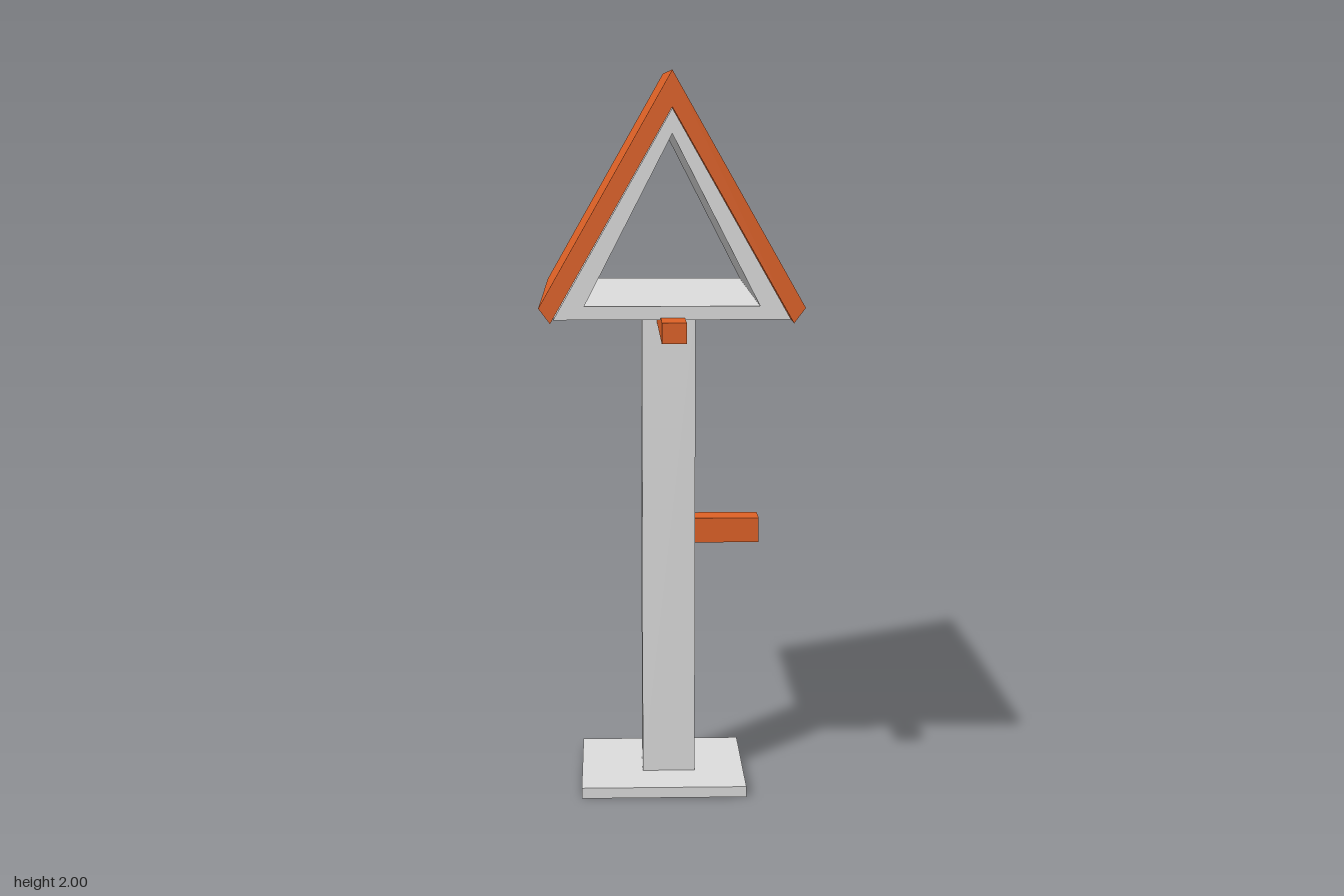
import * as THREE from 'three';

const orange = new THREE.MeshStandardMaterial({ color: 0xe06226 });
orange.name = 'orange wood';
const grey = new THREE.MeshStandardMaterial({ color: 0xdedede, side: THREE.DoubleSide });
grey.name = 'pale grey wood';

// Box given by its minimum and maximum corners
function box(name, material, min, max) {
  const size = max.map((v, i) => v - min[i]);
  const mesh = new THREE.Mesh(new THREE.BoxGeometry(...size), material);
  mesh.position.set(...max.map((v, i) => (v + min[i]) / 2));
  mesh.name = name;
  return mesh;
}

// Triangular section: half width, base height, apex height, depth
function triangle(w, y0, y1, z) {
  return [[-w, y0, z], [w, y0, z], [0, y1, z]];
}

// Flat-shaded skin joining consecutive triangular sections
function loft(sections) {
  const pos = [];
  for (let j = 0; j < sections.length - 1; j++) {
    for (let i = 0; i < 3; i++) {
      const k = (i + 1) % 3;
      const a = sections[j][i], b = sections[j][k];
      const c = sections[j + 1][k], d = sections[j + 1][i];
      pos.push(...a, ...b, ...c, ...a, ...c, ...d);
    }
  }
  const g = new THREE.BufferGeometry();
  g.setAttribute('position', new THREE.Float32BufferAttribute(pos, 3));
  g.computeVertexNormals();
  return g;
}

export function createModel() {
  const model = new THREE.Group();
  model.name = 'birdhouse';
  const back = -0.495, front = 0.38;

  // Gabled roof: a folded board extruded along z
  const outline = [[0, 2], [-0.345, 1.395], [-0.315, 1.355], [0, 1.907], [0.315, 1.355], [0.345, 1.395]];
  const shape = new THREE.Shape(outline.map(p => new THREE.Vector2(...p)));
  const roof = new THREE.Mesh(
    new THREE.ExtrudeGeometry(shape, { depth: front - back, bevelEnabled: false }), orange);
  roof.position.z = back;
  roof.name = 'roof';
  model.add(roof);

  // Hollow house: outer skin, front frame and inner tunnel, with the wall gap open at the back
  const house = new THREE.Mesh(loft([
    triangle(0.307, 1.365, 1.904, back),
    triangle(0.307, 1.365, 1.904, front),
    triangle(0.227, 1.4, 1.84, front),
    triangle(0.227, 1.4, 1.84, -0.45),
  ]), grey);
  house.name = 'house';
  model.add(house);

  // Stand
  model.add(box('basePlate', grey, [-0.245, 0, -0.278], [0.215, 0.03, 0.163]));
  model.add(box('post', grey, [-0.072, 0.03, -0.128], [0.076, 1.365, 0.017]));

  // Perches
  model.add(box('frontPerch', orange, [-0.03, 1.316, 0.017], [0.033, 1.37, 0.495]));
  model.add(box('sidePerch', orange, [0.076, 0.69, -0.096], [0.257, 0.76, -0.014]));

  return model;
}
